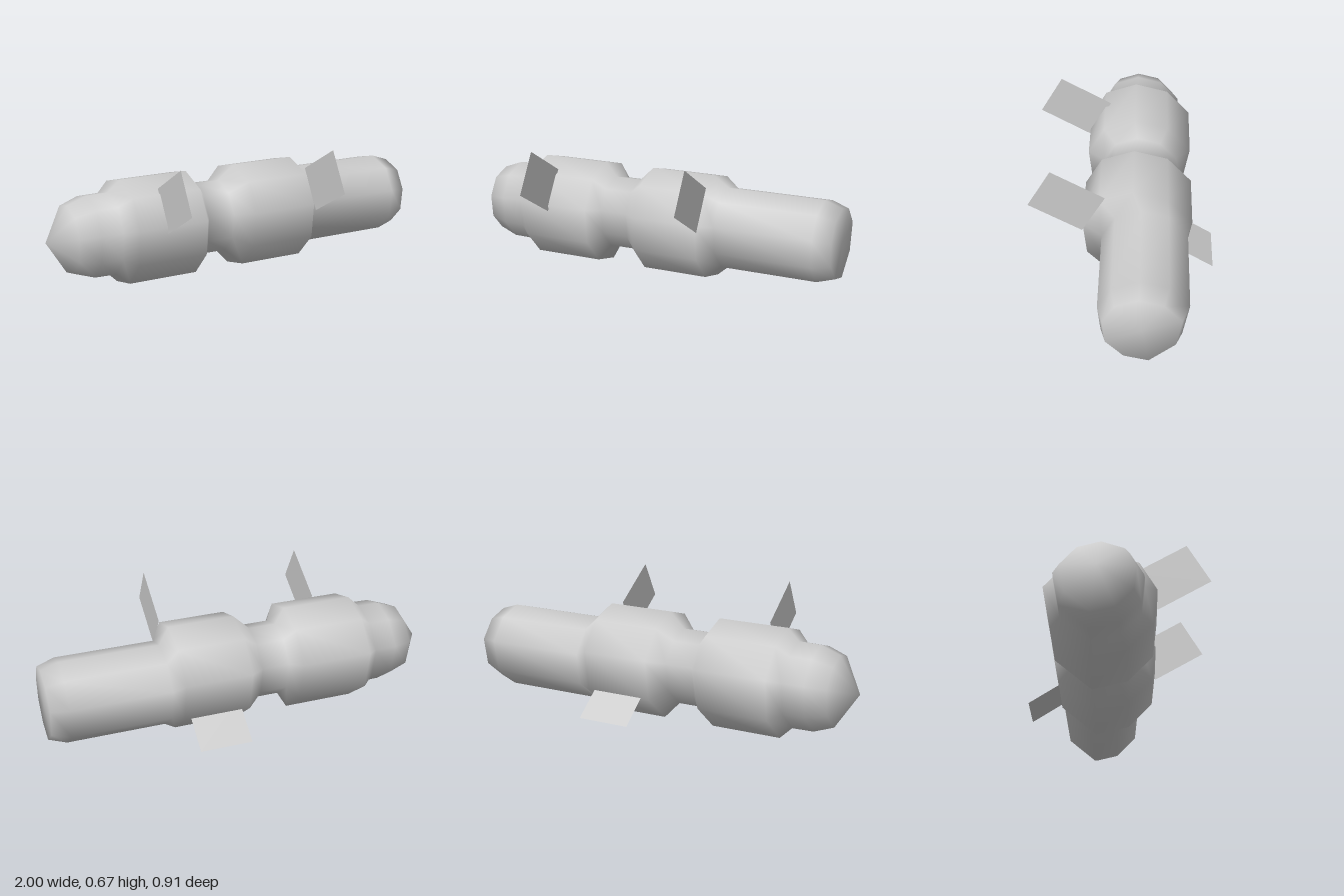
import * as THREE from 'three';

// Irregular nine-sided section as [z, y], for radius 1
const SECTION = [
  [0.97, 0.27], [0.67, 0.79], [0.08, 0.99], [-0.53, 0.83], [-0.97, 0.34],
  [-0.83, -0.43], [-0.17, -0.99], [0.45, -0.84], [0.9, -0.37],
];

// Body stations along x: [x, radius, centre y, centre z]
const STATIONS = [
  [-0.89, 0.178, 0.275, -0.075], [-0.79, 0.215, 0.275, -0.075], [-0.68, 0.217, 0.275, -0.075],
  [-0.62, 0.276, 0.274, -0.073], [-0.26, 0.276, 0.274, -0.073],
  [-0.21, 0.194, 0.28, -0.08], [-0.07, 0.194, 0.28, -0.08],
  [0.01, 0.276, 0.274, -0.073], [0.35, 0.276, 0.274, -0.073],
  [0.41, 0.216, 0.266, -0.11], [0.91, 0.216, 0.266, -0.11], [1, 0.185, 0.266, -0.105],
];

// Smooth skin over the stations, closed by a nose point and a flat end
function bodyGeometry() {
  const n = SECTION.length, last = STATIONS.length - 1;
  const positions = [], index = [];
  for (const [x, r, cy, cz] of STATIONS) {
    for (const [z, y] of SECTION) positions.push(x, cy + r * y, cz + r * z);
  }
  const nose = positions.length / 3, end = nose + 1;
  positions.push(-1, 0.275, -0.075, 1, 0.266, -0.105);
  for (let j = 0; j < n; j++) {
    const k = (j + 1) % n;
    for (let i = 0; i < last; i++) {
      const a = i * n + j, b = i * n + k;
      index.push(a, a + n, b, b, a + n, b + n);
    }
    index.push(nose, j, k, end, last * n + k, last * n + j);
  }
  const geometry = new THREE.BufferGeometry();
  geometry.setAttribute('position', new THREE.Float32BufferAttribute(positions, 3));
  geometry.setIndex(index);
  geometry.computeVertexNormals();
  return geometry;
}

export function createModel() {
  const group = new THREE.Group();
  const grey = new THREE.MeshStandardMaterial({ color: 0xcccccc });
  grey.name = 'light grey';
  grey.side = THREE.DoubleSide;

  const add = (name, geometry) => {
    const mesh = new THREE.Mesh(geometry, grey);
    mesh.name = name;
    group.add(mesh);
    return mesh;
  };

  add('body', bodyGeometry());

  // Upright paddles, square to the body, leaning up and forward
  for (const [name, x] of [['leftPaddle', 0.36], ['rightPaddle', -0.475]]) {
    const paddle = add(name, new THREE.PlaneGeometry(0.3, 0.228).rotateY(Math.PI / 2));
    paddle.rotation.x = -Math.PI / 6;
    paddle.position.set(x, 0.4925, 0.27);
  }

  // Flat fin running along the body, low at the back
  const fin = add('rearFin', new THREE.PlaneGeometry(0.265, 0.24).rotateX(-Math.PI / 2));
  fin.rotation.x = -Math.atan2(0.1, 0.155);
  fin.position.set(0.185, 0.126, -0.354);

  return group;
}
